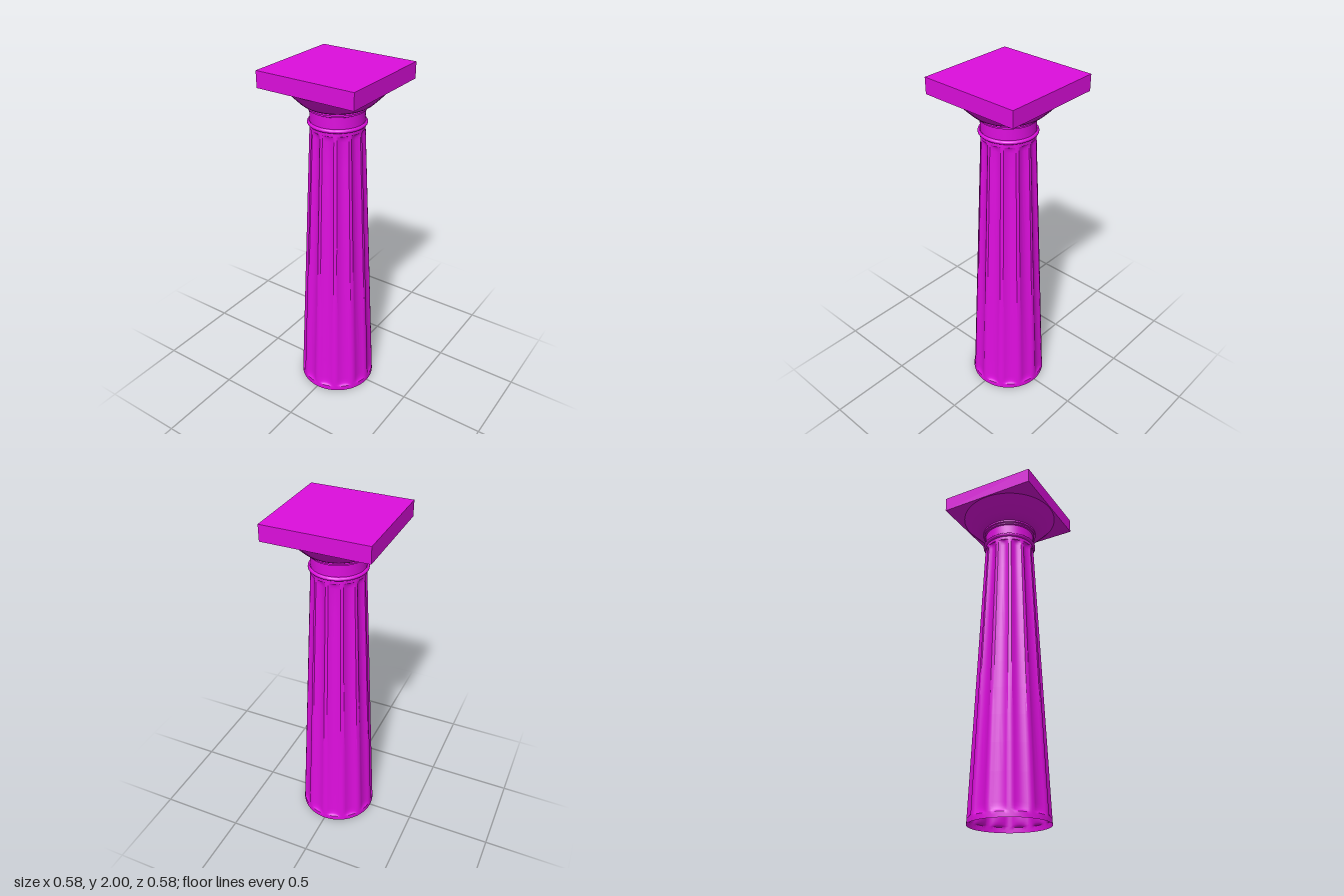
import * as THREE from 'three';
import { toCreasedNormals } from 'three/addons/utils/BufferGeometryUtils.js';

const FLUTES = 12;
const SEGMENTS = FLUTES * 10;
const BASE_R = 0.225, TOP_R = 0.148, SHAFT_TOP = 1.695;
const FLUTE_LOW = 0.03, FLUTE_HIGH = 1.675, FLUTE_DEPTH = 0.014;

const material = new THREE.MeshStandardMaterial({ color: 0xdd0edd, side: THREE.DoubleSide });

function addPart(group, name, geometry) {
  const mesh = new THREE.Mesh(geometry, material);
  mesh.name = name;
  group.add(mesh);
  return mesh;
}

function lathe(points, segments = 64) {
  return new THREE.LatheGeometry(points.map(([r, y]) => new THREE.Vector2(r, y)), segments);
}

// Tapered shaft, open underneath, with shallow flutes that end in round scoops
function shaftGeometry() {
  const heights = [0, 0.015, 0.03, 0.035, 0.045, 0.06, 0.08];
  for (let i = 1; i <= 10; i++) heights.push(0.08 + i * 0.156);
  heights.push(1.655, 1.667, 1.673, 1.675, SHAFT_TOP);
  const geometry = lathe(heights.map((y) => {
    const t = y / SHAFT_TOP;
    return [BASE_R + (TOP_R - BASE_R) * t, y];
  }), SEGMENTS);

  const p = geometry.attributes.position;
  for (let i = 0; i < p.count; i++) {
    const x = p.getX(i), y = p.getY(i), z = p.getZ(i);
    const r = Math.hypot(x, z);
    // u runs from -1 to 1 across one flute, with a narrow fillet between flutes
    const turn = (Math.atan2(x, z) / (2 * Math.PI)) * FLUTES;
    const u = (turn - Math.floor(turn) - 0.5) * 2 / 0.8;
    const end = THREE.MathUtils.clamp(Math.min(y - FLUTE_LOW, FLUTE_HIGH - y) / 0.04, 0, 1);
    const scoop = Math.sqrt(end * (2 - end)) * Math.max(0, 1 - u * u);
    const k = (r - FLUTE_DEPTH * scoop) / r;
    p.setXYZ(i, x * k, y, z * k);
  }
  return toCreasedNormals(geometry, 0.6);
}

export function createModel() {
  const column = new THREE.Group();
  column.name = 'column';

  addPart(column, 'shaft', shaftGeometry());

  // Rounded ring at the top of the shaft
  const ring = [[TOP_R, SHAFT_TOP]];
  for (let i = 0; i <= 8; i++) {
    const a = -Math.PI / 2 + (i / 8) * Math.PI;
    ring.push([0.15 + 0.011 * Math.cos(a), 1.706 + 0.011 * Math.sin(a)]);
  }
  addPart(column, 'neckRing', toCreasedNormals(lathe(ring), 0.6));

  // Plain neck with a small stepped collar
  addPart(column, 'neck', toCreasedNormals(lathe([
    [0.148, 1.715], [0.148, 1.778], [0.156, 1.782], [0.156, 1.79], [0.164, 1.793], [0.164, 1.803],
  ]), 0.6));

  // Flaring cushion under the slab
  addPart(column, 'echinus', toCreasedNormals(lathe([
    [0.164, 1.803], [0.178, 1.808], [0.193, 1.817], [0.21, 1.832], [0.245, 1.867], [0.286, 1.911],
  ]), 0.6));

  // Square slab on top
  const abacus = addPart(column, 'abacus', new THREE.BoxGeometry(0.584, 0.09, 0.584));
  abacus.position.y = 1.955;

  return column;
}
